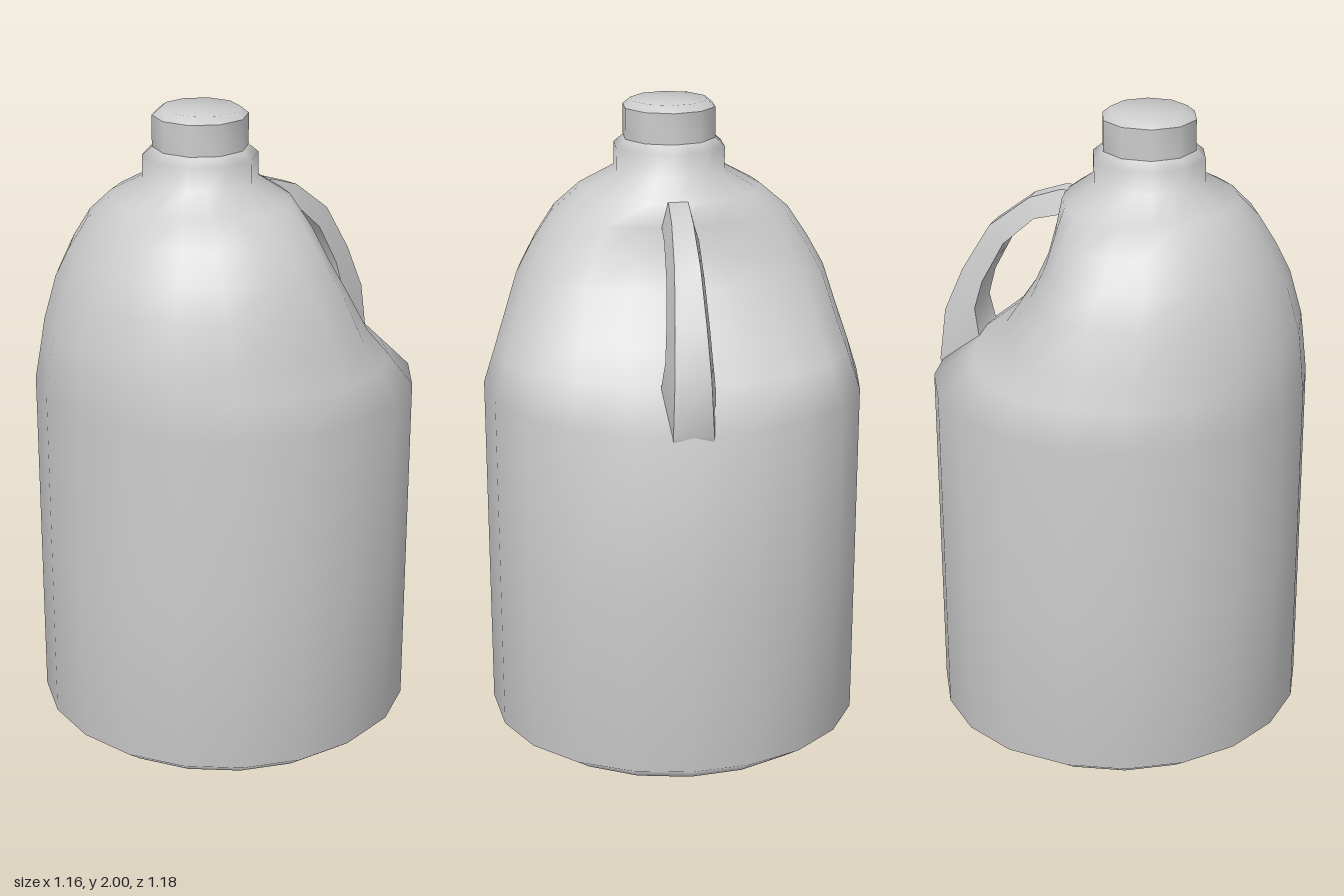
import * as THREE from 'three';
import { toCreasedNormals } from 'three/addons/utils/BufferGeometryUtils.js';

const SIDES = 20;

// Skin a list of equal-length rings (points run counter-clockwise seen from the far end of the path)
function loft(rings, capEnds) {
  const n = rings[0].length;
  const index = [];
  for (let i = 0; i < rings.length - 1; i++) {
    for (let j = 0; j < n; j++) {
      const a = i * n + j, b = i * n + (j + 1) % n;
      index.push(a, b, b + n, a, b + n, a + n);
    }
  }
  if (capEnds) {
    const last = (rings.length - 1) * n;
    for (let j = 1; j < n - 1; j++) {
      index.push(0, j + 1, j, last, last + j, last + j + 1);
    }
  }
  const geometry = new THREE.BufferGeometry();
  geometry.setAttribute('position', new THREE.Float32BufferAttribute(rings.flat(2), 3));
  geometry.setIndex(index);
  geometry.computeVertexNormals();
  return geometry;
}

// Body section: separate left and right reach, with a squarer right side where the grip is
// pressed in. Neck sections pull every second point in to make a ten-sided ring.
function bodyRing([y, left, right, depth, centre, power]) {
  const ring = [];
  for (let j = 0; j < SIDES; j++) {
    const a = (j / SIDES) * Math.PI * 2;
    const c = Math.cos(a);
    const pull = y > 1.78 && j % 2 ? Math.cos(Math.PI / 10) : 1;
    const reach = c > 0 ? (right - centre) * Math.pow(c, power) : (centre - left) * c;
    ring.push([centre + reach * pull, y, -depth * Math.sin(a) * pull]);
  }
  return ring;
}

export function createModel() {
  const jug = new THREE.Group();
  jug.name = 'jug';
  const material = new THREE.MeshStandardMaterial({ color: 0xcccccc });
  const add = (name, geometry) => {
    const mesh = new THREE.Mesh(geometry, material);
    mesh.name = name;
    jug.add(mesh);
    return mesh;
  };

  // Body and neck: y, left, right, depth, centre x, right-side power
  const sections = [
    [0, -0.52, 0.52, 0.525, 0, 1],
    [0.05, -0.585, 0.58, 0.59, 0, 0.9],
    [0.6, -0.585, 0.58, 0.59, 0, 0.9],
    [1.14, -0.585, 0.58, 0.59, 0, 0.9],
    [1.25, -0.575, 0.44, 0.555, 0, 0.85],
    [1.34, -0.565, 0.33, 0.525, -0.02, 0.8],
    [1.48, -0.525, 0.235, 0.48, -0.04, 0.75],
    [1.57, -0.48, 0.195, 0.43, -0.06, 0.75],
    [1.66, -0.425, 0.175, 0.37, -0.07, 0.8],
    [1.73, -0.36, 0.168, 0.285, -0.09, 0.9],
    [1.79, -0.265, 0.085, 0.175, -0.09, 1],
    [1.86, -0.265, 0.085, 0.175, -0.09, 1],
    [1.885, -0.235, 0.055, 0.145, -0.09, 1],
  ];
  add('body', loft(sections.map(bodyRing), false));

  // Flat base, with its own vertices for a sharp rim
  const base = new THREE.CircleGeometry(0.5225, SIDES);
  base.rotateX(Math.PI / 2);
  add('base', base);

  // Ten-sided screw cap on the off-centre neck
  const capProfile = [[0.145, 1.88], [0.145, 1.98], [0.12, 2], [0, 2]];
  const capLathe = new THREE.LatheGeometry(capProfile.map(([r, y]) => new THREE.Vector2(r, y)), 10);
  capLathe.rotateY(Math.PI / 2);
  add('cap', toCreasedNormals(capLathe, 0.7)).position.x = -0.09;

  // Handle: outer x, y, inner x, y, outer and inner half-widths
  const stations = [
    [0.12, 1.735, 0.10, 1.66, 0.03, 0.05],
    [0.18, 1.735, 0.18, 1.66, 0.03, 0.05],
    [0.28, 1.70, 0.26, 1.64, 0.032, 0.052],
    [0.41, 1.60, 0.36, 1.55, 0.038, 0.056],
    [0.50, 1.45, 0.43, 1.42, 0.046, 0.064],
    [0.56, 1.31, 0.455, 1.33, 0.053, 0.07],
    [0.58, 1.14, 0.44, 1.25, 0.06, 0.08],
    [0.56, 1.10, 0.40, 1.18, 0.06, 0.08],
  ];
  const grip = loft(stations.map(([ox, oy, ix, iy, ow, iw]) => [
    [ox, oy, -ow], [ox, oy, ow], [ix, iy, iw], [ix, iy, -iw],
  ]), true);
  add('handle', toCreasedNormals(grip, 0.7));

  return jug;
}
